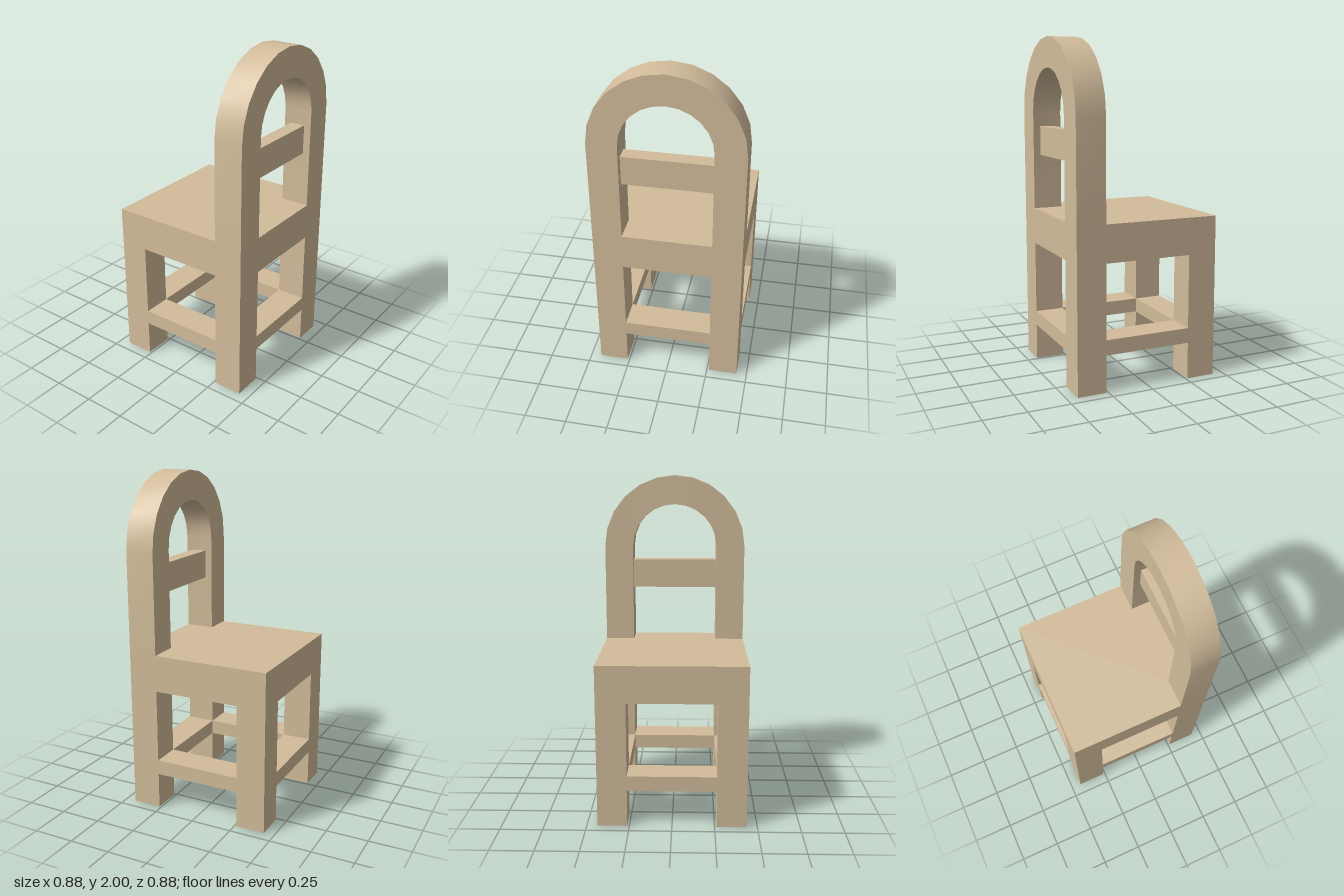
import * as THREE from 'three';
import { toCreasedNormals } from 'three/addons/utils/BufferGeometryUtils.js';

const HALF = 0.4375; // half width and half depth
const POST = 0.175; // leg and frame thickness
const MID = HALF - POST / 2; // centre line of legs and rails
const GAP = 2 * (HALF - POST); // clear span between legs
const SEAT_BOTTOM = 0.75, SEAT_TOP = 0.97, ARCH_Y = 2 - HALF;

export function createModel() {
  const chair = new THREE.Group();
  chair.name = 'chair';
  const wood = new THREE.MeshStandardMaterial({ color: 0xd2bc9b });

  const add = (name, geometry, x, y, z) => {
    const mesh = new THREE.Mesh(geometry, wood);
    mesh.name = name;
    mesh.position.set(x, y, z);
    chair.add(mesh);
  };
  // Box given by its bottom and top heights
  const box = (name, w, y0, y1, d, x, z) =>
    add(name, new THREE.BoxGeometry(w, y1 - y0, d), x, (y0 + y1) / 2, z);

  // Seat slab
  box('seat', 2 * HALF, SEAT_BOTTOM, SEAT_TOP, 2 * HALF, 0, 0);

  // Four legs, and a ring of stretchers between them
  for (const s of [-1, 1]) {
    const side = s > 0 ? 'left' : 'right';
    box(side + 'FrontLeg', POST, 0, SEAT_BOTTOM, POST, s * MID, MID);
    box(side + 'BackLeg', POST, 0, SEAT_BOTTOM, POST, s * MID, -MID);
    box(side + 'Stretcher', POST, 0.22, 0.31, GAP, s * MID, 0);
    box(s > 0 ? 'frontStretcher' : 'backStretcher', GAP, 0.22, 0.31, POST, 0, s * MID);
  }

  // Arched backrest frame rising from the seat
  const inner = HALF - POST;
  const arch = new THREE.Shape();
  arch.moveTo(HALF, SEAT_TOP);
  arch.lineTo(HALF, ARCH_Y);
  arch.absarc(0, ARCH_Y, HALF, 0, Math.PI, false);
  arch.lineTo(-HALF, SEAT_TOP);
  arch.lineTo(-inner, SEAT_TOP);
  arch.lineTo(-inner, ARCH_Y);
  arch.absarc(0, ARCH_Y, inner, Math.PI, 0, true);
  arch.lineTo(inner, SEAT_TOP);
  arch.closePath();
  const frame = new THREE.ExtrudeGeometry(arch, { depth: POST, bevelEnabled: false, curveSegments: 6 });
  add('backrestArch', toCreasedNormals(frame, 0.6), 0, 0, HALF - POST);

  // Thinner crossbar centred in the arch
  box('backrestCrossbar', GAP, 1.3, 1.475, POST / 2, 0, MID);

  return chair;
}
